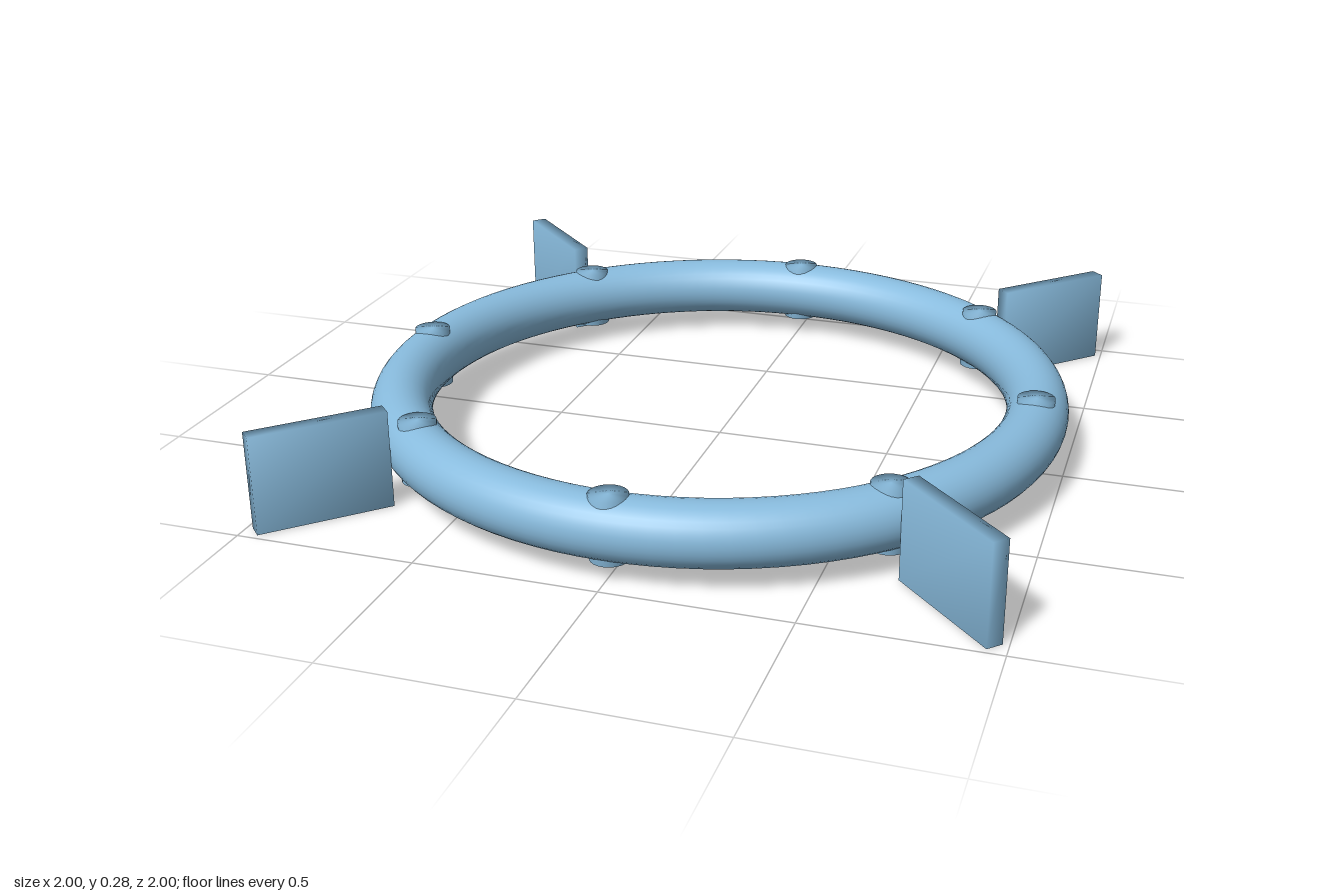
import * as THREE from 'three';
import { mergeVertices } from 'three/addons/utils/BufferGeometryUtils.js';

const RING_RADIUS = 0.912, TUBE = 0.087, MID_Y = 0.138;

// Weld the corners so shading flows softly over the edges
function softened(geometry) {
  geometry.deleteAttribute('normal');
  geometry.deleteAttribute('uv');
  const welded = mergeVertices(geometry);
  welded.computeVertexNormals();
  return welded;
}

export function createModel() {
  const model = new THREE.Group();
  model.name = 'finnedRing';
  const material = new THREE.MeshStandardMaterial({ color: 0x88bbdd });

  function add(name, geometry, angle = 0, radius = 0) {
    const mesh = new THREE.Mesh(geometry, material);
    mesh.name = name;
    mesh.position.set(Math.cos(angle) * radius, MID_Y, Math.sin(angle) * radius);
    mesh.rotation.y = -angle;
    model.add(mesh);
  }

  // Main ring lying flat
  add('ring', new THREE.TorusGeometry(RING_RADIUS, TUBE, 32, 96).rotateX(Math.PI / 2));

  // Eight pins through the tube, flush with its top and bottom
  const pin = softened(new THREE.CylinderGeometry(0.052, 0.052, 0.176, 24));
  for (let i = 0; i < 8; i++) add('pin', pin, (i * Math.PI) / 4, RING_RADIUS);

  // Four upright fins pointing outwards on the diagonals
  const fin = softened(new THREE.BoxGeometry(0.37, 2 * MID_Y, 0.046));
  for (let i = 0; i < 4; i++) add('fin', fin, Math.PI / 4 + (i * Math.PI) / 2, 1.183);

  return model;
}
